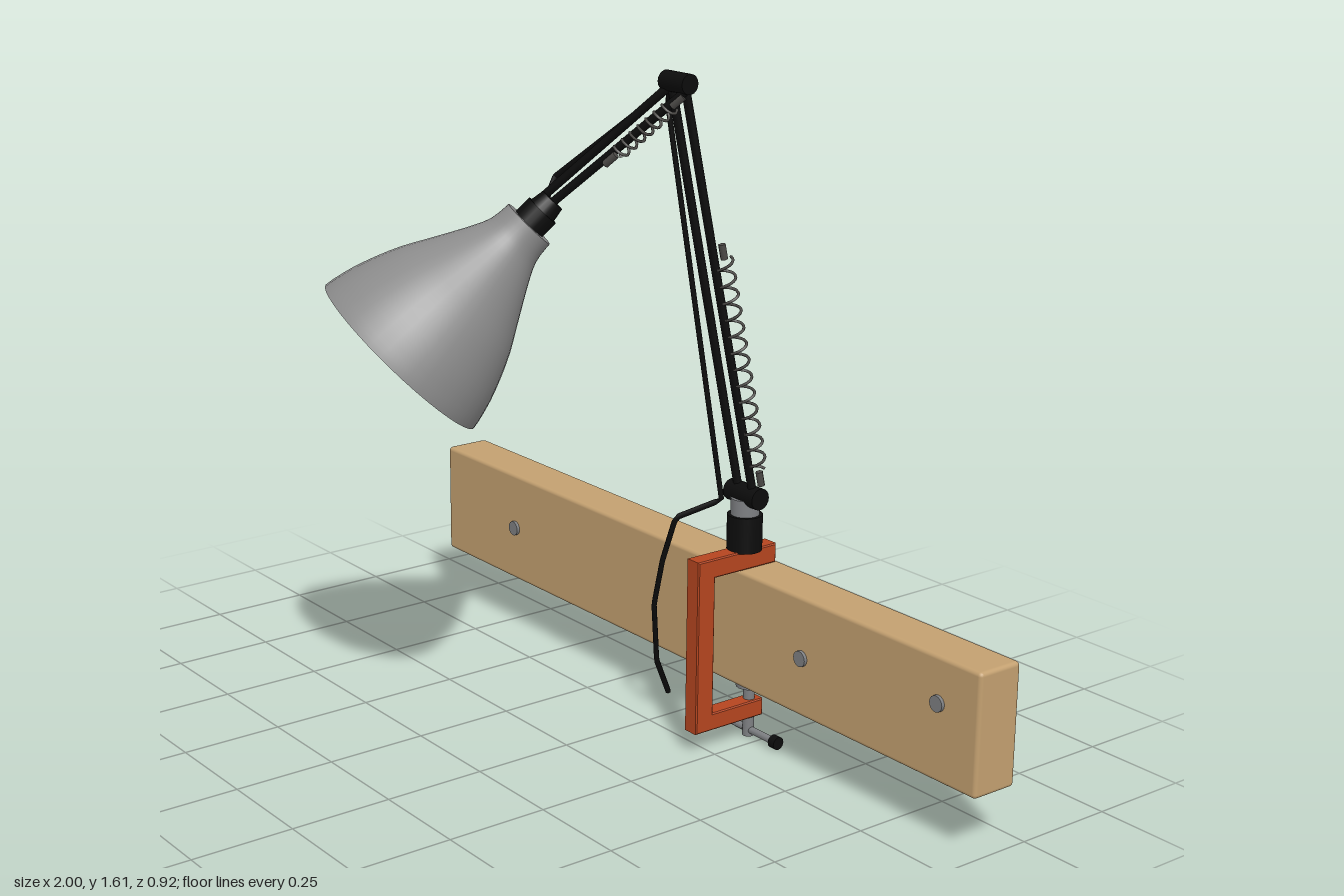
import * as THREE from 'three';
import { RoundedBoxGeometry } from 'three/addons/geometries/RoundedBoxGeometry.js';

const V = (x, y, z) => new THREE.Vector3(x, y, z);
const UP = V(0, 1, 0);

export function createModel() {
  const model = new THREE.Group();
  model.name = 'clampLamp';
  const mat = (name, color, side = THREE.FrontSide) => {
    const m = new THREE.MeshStandardMaterial({ color, side });
    m.name = name;
    return m;
  };
  const wood = mat('wood', 0xc3a070);
  const orange = mat('orangePaint', 0xb5451f);
  const black = mat('blackMetal', 0x0c0c0c);
  const steel = mat('steel', 0x7d7f82);
  const shadeGrey = mat('shadeGrey', 0x8b8b8b, THREE.DoubleSide);
  const springGrey = mat('springGrey', 0x4c4a47);

  const add = (name, geometry, material, parent = model) => {
    const mesh = new THREE.Mesh(geometry, material);
    mesh.name = name;
    parent.add(mesh);
    return mesh;
  };
  // Round bar from a to b
  const bar = (name, a, b, r, material, sides = 10) => {
    const d = b.clone().sub(a);
    const mesh = add(name, new THREE.CylinderGeometry(r, r, d.length(), sides), material);
    mesh.position.copy(a).add(b).multiplyScalar(0.5);
    mesh.quaternion.setFromUnitVectors(UP, d.normalize());
    return mesh;
  };
  // Cable with straight runs between points
  const cable = (name, points) => {
    const path = new THREE.CurvePath();
    for (let i = 1; i < points.length; i++) path.add(new THREE.LineCurve3(points[i - 1], points[i]));
    add(name, new THREE.TubeGeometry(path, 90, 0.007, 6), black);
  };
  // Coil spring with a small hook block at each end
  const spring = (name, a, b, r, turns) => {
    const axis = b.clone().sub(a).normalize();
    const u = V(1, 0, 0).cross(axis).normalize();
    const w = axis.clone().cross(u);
    const n = turns * 8;
    const points = Array.from({ length: n + 1 }, (_, i) => {
      const t = (i / 8) * Math.PI * 2;
      return a.clone().lerp(b, i / n)
        .addScaledVector(u, r * Math.cos(t)).addScaledVector(w, r * Math.sin(t));
    });
    add(name, new THREE.TubeGeometry(new THREE.CatmullRomCurve3(points), n * 2, 0.0035, 5), springGrey);
    for (const [end, s] of [[a, -1], [b, 1]]) {
      bar(name + 'Hook', end, end.clone().addScaledVector(axis, 0.035 * s), 0.009, springGrey, 6);
    }
  };

  // Wooden beam with screw heads on its front
  add('beam', new RoundedBoxGeometry(2, 0.29, 0.12, 2, 0.01), wood).position.set(0, 0.292, -0.398);
  for (const [x, y] of [[-0.685, 0.29], [0.445, 0.29], [0.88, 0.33]]) {
    bar('beamScrew', V(x, y, -0.345), V(x, y, -0.33), 0.019, steel, 16);
  }

  // C-shaped clamp, drawn in the z-y plane
  const X = 0.21;
  const profile = new THREE.Shape([
    [-0.21, 0.06], [-0.21, 0.483], [-0.44, 0.483], [-0.44, 0.442], [-0.255, 0.442],
    [-0.255, 0.097], [-0.41, 0.097], [-0.41, 0.06],
  ].map(([z, y]) => new THREE.Vector2(-z, y)));
  const clampGeometry = new THREE.ExtrudeGeometry(profile, {
    depth: 0.038, bevelThickness: 0.003, bevelSize: 0.003, bevelSegments: 1,
  });
  clampGeometry.translate(0, 0, -0.019).rotateY(Math.PI / 2);
  add('clamp', clampGeometry, orange).position.x = X;

  // Clamp screw, pad and turning handle
  const S = -0.387;
  bar('clampScrew', V(X, 0.005, S), V(X, 0.14, S), 0.014, steel, 14);
  bar('clampPad', V(X, 0.132, S), V(X, 0.147, S), 0.032, steel, 18);
  bar('clampHandle', V(0.12, 0.02, S), V(0.31, 0.02, S), 0.009, steel);
  for (const s of [-1, 1]) {
    bar('handleCap', V(X + 0.09 * s, 0.02, S), V(X + 0.11 * s, 0.02, S), 0.016, black, 12);
  }

  // Swivel base and arm joints
  const Z = -0.362;
  bar('baseSocket', V(X, 0.483, Z), V(X, 0.57, Z), 0.042, black, 24);
  bar('basePost', V(X, 0.57, Z), V(X, 0.61, Z), 0.034, steel, 24);
  bar('lowerJoint', V(0.16, 0.618, Z), V(0.263, 0.618, Z), 0.026, black, 18);
  bar('elbowJoint', V(0.138, 1.59, -0.168), V(0.222, 1.59, -0.168), 0.023, black, 18);

  // Twin rods of each arm
  bar('lowerArmRod', V(0.187, 0.618, -0.362), V(0.158, 1.585, -0.168), 0.01, black);
  bar('lowerArmRod', V(0.238, 0.618, -0.362), V(0.205, 1.585, -0.168), 0.01, black);
  bar('upperArmRod', V(0.16, 1.585, -0.168), V(-0.122, 1.3, -0.012), 0.01, black);
  bar('upperArmRod', V(0.21, 1.575, -0.168), V(-0.082, 1.295, -0.012), 0.01, black);

  // Power cable along both arms, with a loose tail
  cable('lowerCable', [
    V(0.15, 1.575, -0.168), V(0.13, 1.53, -0.182), V(0.145, 0.59, -0.345), V(0.08, 0.545, -0.26),
    V(0.045, 0.43, -0.25), V(0.015, 0.31, -0.25), V(-0.01, 0.15, -0.28), V(-0.025, 0.05, -0.33),
  ]);
  cable('upperCable', [
    V(0.15, 1.575, -0.168), V(-0.14, 1.345, -0.072), V(-0.115, 1.29, -0.022),
  ]);

  // Balance springs
  spring('lowerSpring', V(0.255, 1.2, -0.246), V(0.27, 0.69, -0.35), 0.019, 13);
  spring('upperSpring', V(0.185, 1.54, -0.148), V(0.075, 1.425, -0.08), 0.017, 7);

  // Lamp head, local +y points out of the shade mouth
  const head = new THREE.Group();
  head.name = 'lampHead';
  head.position.set(-0.115, 1.25, 0.02);
  head.quaternion.setFromUnitVectors(UP, V(-0.145, -0.3, 0.26).normalize());
  model.add(head);

  const shadeCurve = new THREE.SplineCurve([
    [0.065, 0], [0.071, 0.05], [0.094, 0.1], [0.136, 0.175], [0.178, 0.25],
    [0.213, 0.335], [0.23, 0.395], [0.235, 0.423],
  ].map(([r, y]) => new THREE.Vector2(r, y)));
  add('shade', new THREE.LatheGeometry(shadeCurve.getPoints(20), 40), shadeGrey, head);
  const collar = add('shadeCollar', new THREE.RingGeometry(0.03, 0.065, 40), shadeGrey, head);
  collar.rotation.x = Math.PI / 2;
  add('socket', new THREE.CylinderGeometry(0.042, 0.042, 0.05, 20), black, head).position.y = -0.018;
  add('socketCap', new THREE.CylinderGeometry(0.036, 0.03, 0.035, 20), black, head).position.y = -0.058;
  add('bulbHolder', new THREE.CylinderGeometry(0.035, 0.03, 0.17, 20), steel, head).position.y = 0.1;
  add('bulb', new THREE.SphereGeometry(0.065, 24, 16), shadeGrey, head).position.y = 0.23;

  return model;
}
